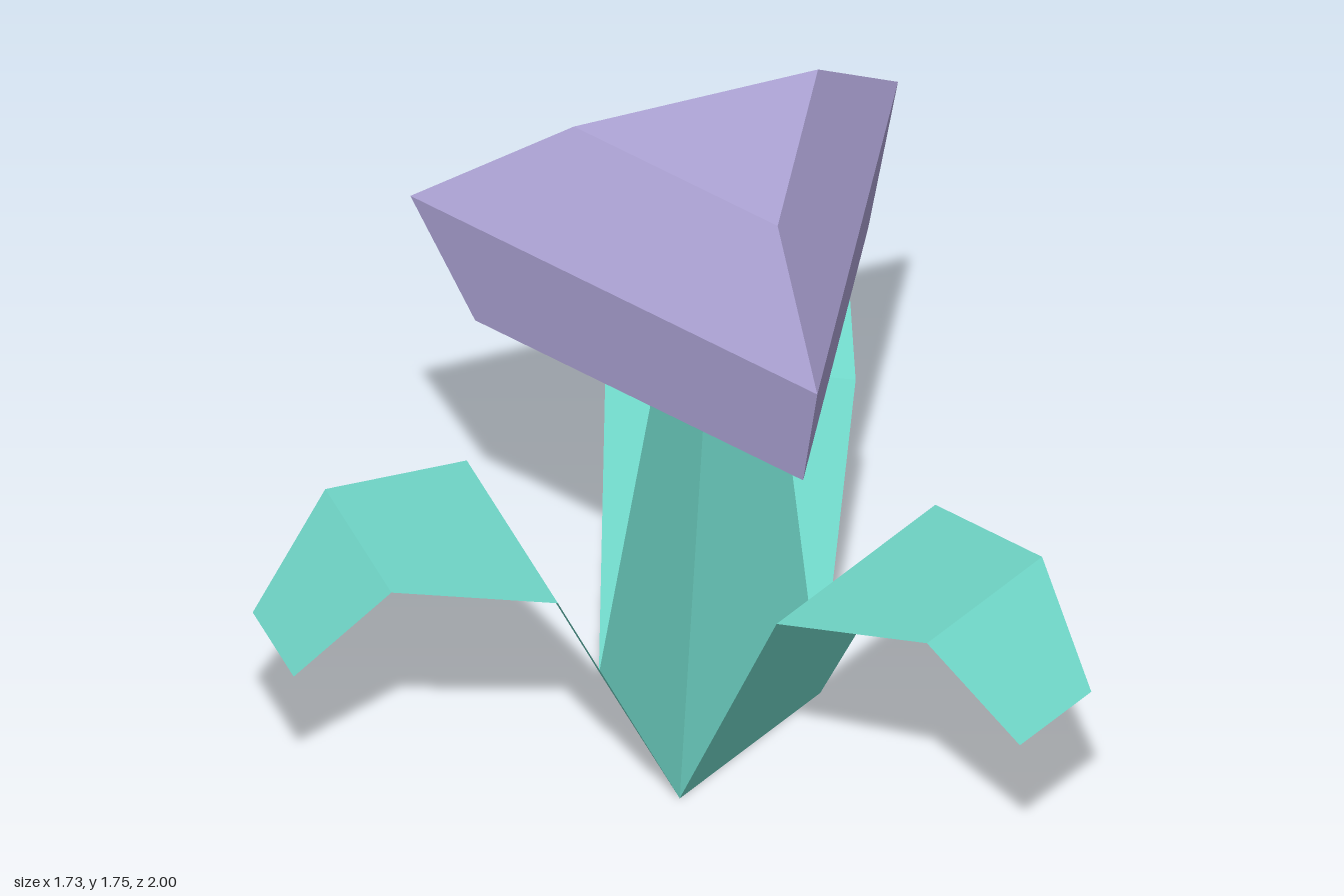
import * as THREE from 'three';

const purple = new THREE.MeshStandardMaterial({ color: 0xb1a7da });
purple.name = 'lavender bloom';
const teal = new THREE.MeshStandardMaterial({ color: 0x72dacb, side: THREE.DoubleSide });
teal.name = 'teal plant';

function facets(points) {
  const g = new THREE.BufferGeometry().setFromPoints(points);
  g.computeVertexNormals(); // unshared corners give flat faces
  return g;
}

// Closed three-sided loft; each ring is [x, y, z, radius], from bottom to top
function triangularLoft(rings, startAngle) {
  const loops = rings.map(([x, y, z, r]) => [0, 1, 2].map((i) => {
    const a = startAngle + (i * Math.PI * 2) / 3;
    return new THREE.Vector3(x + r * Math.cos(a), y, z + r * Math.sin(a));
  }));
  const pts = [...loops[0]];
  for (let k = 0; k < loops.length - 1; k++) {
    const lo = loops[k], hi = loops[k + 1];
    for (let i = 0; i < 3; i++) {
      const j = (i + 1) % 3;
      pts.push(lo[i], hi[i], hi[j], lo[i], hi[j], lo[j]);
    }
  }
  const top = loops[loops.length - 1];
  pts.push(top[0], top[2], top[1]);
  return facets(pts);
}

// Folded strip; each section is [distance outwards along -x, height, half width]
function leafStrip(sections) {
  const pts = [];
  for (let i = 0; i < sections.length - 1; i++) {
    const [a, b, c, d] = [[i, -1], [i, 1], [i + 1, 1], [i + 1, -1]].map(([k, s]) => {
      const [r, y, w] = sections[k];
      return new THREE.Vector3(-r, y, s * w);
    });
    pts.push(a, d, c, a, c, b);
  }
  // wind so that the upper side is the front
  for (let i = 0; i < pts.length; i += 3) [pts[i + 1], pts[i + 2]] = [pts[i + 2], pts[i + 1]];
  return facets(pts);
}

export function createModel() {
  const model = new THREE.Group();
  model.name = 'plant';
  const add = (parent, name, geometry, material) => {
    const mesh = new THREE.Mesh(geometry, material);
    mesh.name = name;
    parent.add(mesh);
    return mesh;
  };

  // Slightly leaning, tapered stem
  add(model, 'stem', triangularLoft([
    [0.207, 0, 0, 0.304],
    [0.248, 1.12, 0, 0.146],
  ], 0), teal);

  // Bloom, widest at its middle and offset towards the back there
  add(model, 'bloom', triangularLoft([
    [0.246, 1.11, 0.002, 0.573],
    [0.246, 1.43, -0.043, 0.711],
    [0.246, 1.745, 0.053, 0.356],
  ], Math.PI / 2), purple);

  // Three folded leaves, one on each side of the stem
  const leaves = new THREE.Group();
  leaves.name = 'leaves';
  leaves.position.x = 0.207;
  model.add(leaves);
  const leaf = leafStrip([
    [0.152, 0, 0.264],
    [0.473, 0.69, 0.298],
    [0.862, 0.77, 0.216],
    [1.077, 0.522, 0.134],
  ]);
  for (let i = 0; i < 3; i++) {
    add(leaves, `leaf${i + 1}`, leaf, teal).rotation.y = (i * Math.PI * 2) / 3;
  }
  return model;
}
